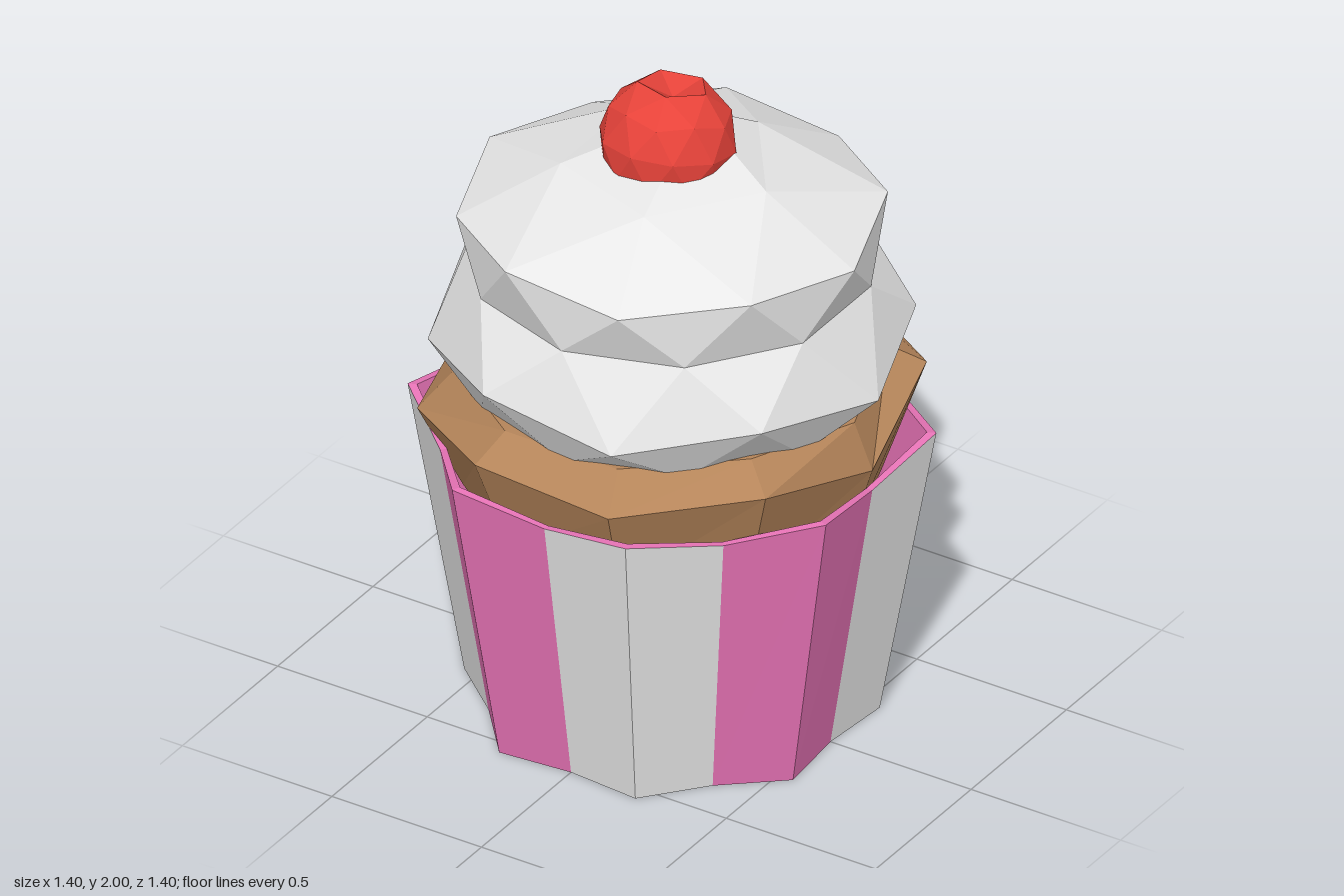
import * as THREE from 'three';

const material = (name, color) => {
  const m = new THREE.MeshStandardMaterial({ color, flatShading: true });
  m.name = name;
  return m;
};

// Ring of n points; r and y may be numbers or functions of the index, turn is in steps.
function ring(n, r, y, turn = 0) {
  const at = (v, i) => (typeof v === 'function' ? v(i) : v);
  return Array.from({ length: n }, (_, i) => {
    const a = ((i + turn) / n) * Math.PI * 2;
    return new THREE.Vector3(Math.cos(a) * at(r, i), at(y, i), Math.sin(a) * at(r, i));
  });
}

// Outward triangles between a lower and an upper ring.
function band(lo, up) {
  const n = lo.length;
  return lo.flatMap((p, i) => {
    const j = (i + 1) % n;
    return [p, up[i], lo[j], up[i], up[j], lo[j]];
  });
}

// Fan from a ring to a point, facing up or down.
function cap(loop, tip, up = true) {
  return loop.flatMap((p, i) => {
    const q = loop[(i + 1) % loop.length];
    return up ? [p, tip, q] : [q, tip, p];
  });
}

function facets(name, mat, points) {
  const g = new THREE.BufferGeometry().setFromPoints(points);
  g.computeVertexNormals();
  const mesh = new THREE.Mesh(g, mat);
  mesh.name = name;
  return mesh;
}

const centre = (y, x = 0, z = 0) => new THREE.Vector3(x, y, z);

function createWrapper(pink, white) {
  const group = new THREE.Group();
  group.name = 'wrapper';
  // Eight-pointed star: even points are valleys, odd points are peaks
  const star = (valley, peak, yValley, yPeak) =>
    ring(16, i => (i % 2 ? peak : valley), i => (i % 2 ? yPeak : yValley));
  const bottom = star(0.53, 0.595, 0, 0);
  const top = star(0.67, 0.757, 0.885, 0.932);
  const innerTop = star(0.65, 0.73, 0.885, 0.932);
  const innerBottom = star(0.51, 0.57, 0.03, 0.03);

  // Pleats alternate in colour, each spanning valley to valley
  const wall = band(bottom, top);
  const pleats = [[], []];
  for (let k = 0; k < 8; k++) pleats[k % 2].push(...wall.slice(k * 12, k * 12 + 12));
  group.add(facets('pinkPleats', pink, pleats[0]));
  group.add(facets('whitePleats', white, pleats[1]));

  group.add(facets('wrapperRim', pink, band(top, innerTop)));
  group.add(facets('wrapperLining', pink, [
    ...band(innerTop, innerBottom), ...cap(innerBottom, centre(0.03)),
  ]));
  group.add(facets('wrapperBase', pink, cap(bottom, centre(0), false)));
  return group;
}

function createCake(brown) {
  // Uneven ten-sided edge
  const edgeY = [0.95, 1.05, 1.0, 1.03, 0.96, 1.02, 1.0, 1.02, 1.0, 1.06];
  const topY = [1.09, 1.12, 1.1, 1.1, 1.09, 1.09, 1.1, 1.1, 1.1, 1.12];
  const base = ring(10, 0.59, 0.7);
  const edge = ring(10, i => (i % 5 ? 0.72 : 0.67), i => edgeY[i]);
  const top = ring(10, 0.61, i => topY[i]);
  return facets('cake', brown, [
    ...cap(base, centre(0.7), false), ...band(base, edge), ...band(edge, top), ...cap(top, centre(1.1)),
  ]);
}

function createFrosting(white) {
  // Each ring turns half a step to make zigzag facets
  const foot = ring(10, 0.575, 1.06, -0.5);
  const bulge = ring(10, 0.69, i => (i % 2 ? 1.25 : 1.19));
  const waist = ring(10, 0.58, 1.43, 0.5);
  const shoulder = ring(10, 0.61, i => (i % 2 ? 1.595 : 1.63), 1);
  const crown = ring(5, 0.315, 1.76);
  const points = [
    ...cap(foot, centre(1.06), false), ...band(foot, bulge),
    ...band(bulge, waist), ...band(waist, shoulder),
  ];
  // Shoulder narrows from ten points to five
  const s = j => shoulder[(j + 9) % 10];
  crown.forEach((p, k) => {
    const j = 2 * k;
    points.push(s(j - 1), p, s(j), s(j), p, s(j + 1), p, crown[(k + 1) % 5], s(j + 1));
  });
  // Off-centre tip
  points.push(...cap(crown, centre(1.86, 0, -0.13)));
  return facets('frosting', white, points);
}

function createCherry(red) {
  const g = new THREE.IcosahedronGeometry(0.2, 1);
  g.rotateX(-Math.atan((1 + Math.sqrt(5)) / 2)).rotateY(Math.PI / 2);
  // Push the top point in for the stem dimple
  const pos = g.attributes.position;
  for (let i = 0; i < pos.count; i++) if (pos.getY(i) > 0.195) pos.setY(i, 0.13);
  g.rotateX(-0.2);
  g.computeVertexNormals();
  const cherry = new THREE.Mesh(g, red);
  cherry.name = 'cherry';
  cherry.position.set(-0.02, 1.815, -0.01);
  return cherry;
}

export function createModel() {
  const pink = material('pink', 0xf078bd);
  const white = material('white', 0xf0f0f0);
  const brown = material('brown', 0xb5855a);
  const red = material('red', 0xe8433a);
  const cupcake = new THREE.Group();
  cupcake.name = 'cupcake';
  cupcake.add(createWrapper(pink, white), createCake(brown), createFrosting(white), createCherry(red));
  return cupcake;
}
